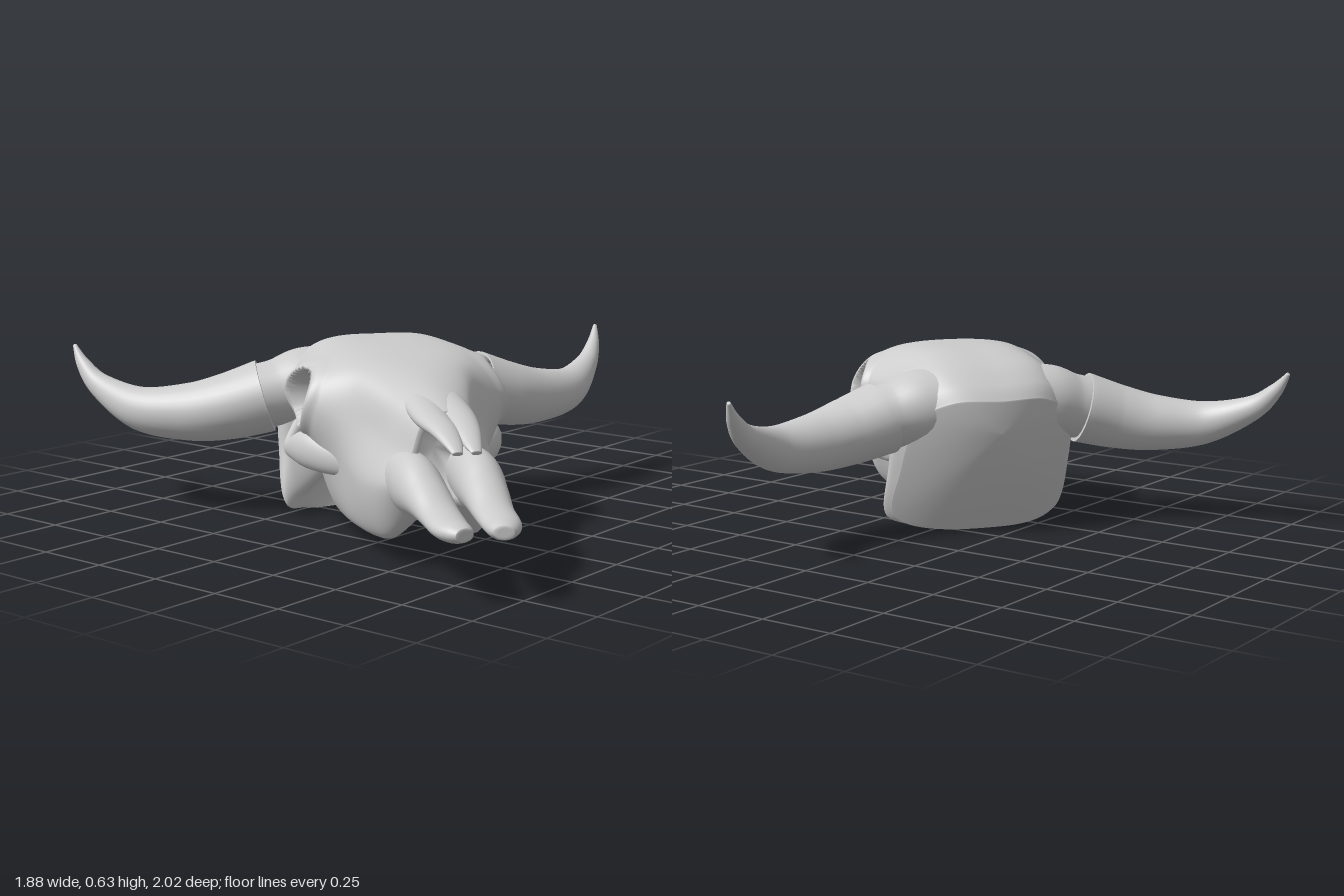
import * as THREE from 'three';

const material = new THREE.MeshStandardMaterial({ color: 0xcccccc, side: THREE.DoubleSide });

// Smooth interpolation of rows of numbers; u runs over the row index
function sample(keys, u) {
  const i = Math.min(Math.floor(u), keys.length - 2), f = u - i;
  const k = n => keys[Math.max(0, Math.min(keys.length - 1, n))];
  return keys[i].map((p1, c) => {
    const p0 = k(i - 1)[c], p2 = k(i + 1)[c], p3 = k(i + 2)[c];
    return p1 + 0.5 * f * (p2 - p0 + f * (2 * p0 - 5 * p1 + 4 * p2 - p3 + f * (3 * (p1 - p2) + p3 - p0)));
  });
}

// Skin over a list of closed rings with equal point counts
function skin(rings, name) {
  const n = rings[0].length, index = [];
  for (let i = 0; i < rings.length - 1; i++) {
    for (let j = 0; j < n; j++) {
      const a = i * n + j, b = i * n + (j + 1) % n;
      index.push(a, a + n, b, b, a + n, b + n);
    }
  }
  const geometry = new THREE.BufferGeometry().setFromPoints(rings.flat());
  geometry.setIndex(index);
  geometry.computeVertexNormals();
  const mesh = new THREE.Mesh(geometry, material);
  mesh.name = name;
  return mesh;
}

// Elliptical sweep through keys of [x, y, z, halfWidth, halfHeight]
function sweep(name, keys, side, rows = 40, cols = 32) {
  const rings = [], last = keys.length - 1;
  const at = u => {
    const k = sample(keys, u);
    return { p: new THREE.Vector3(k[0] * side, k[1], k[2]), w: k[3], h: k[4] };
  };
  const ring = (u, scale) => {
    const { p, w, h } = at(u);
    const tangent = at(Math.min(last, u + 0.02)).p.sub(at(Math.max(0, u - 0.02)).p).normalize();
    const across = new THREE.Vector3(0, 1, 0).cross(tangent).normalize();
    const up = tangent.clone().cross(across);
    rings.push(Array.from({ length: cols }, (_, j) => {
      const a = j / cols * Math.PI * 2;
      return p.clone().addScaledVector(across, Math.sin(a) * w * scale).addScaledVector(up, Math.cos(a) * h * scale);
    }));
  };
  ring(0, 0);
  ring(0, 1);
  for (let i = 0; i <= rows; i++) ring(i / rows * last, 1);
  ring(last, 0.6);
  ring(last, 0);
  return skin(rings, name);
}

// Cranium sections: z, top y, brow (x, y), side (x, y), cheek (x, y), lower edge (x, y), palate y
const sections = [
  [0.18, 0.475, 0.17, 0.47, 0.27, 0.41, 0.31, 0.22, 0.3, 0.035, 0.0],
  [0.23, 0.525, 0.19, 0.52, 0.3, 0.45, 0.335, 0.22, 0.315, 0.03, 0.1],
  [0.33, 0.583, 0.2, 0.57, 0.315, 0.46, 0.315, 0.25, 0.28, 0.08, 0.22],
  [0.48, 0.62, 0.2, 0.597, 0.315, 0.46, 0.22, 0.28, 0.14, 0.18, 0.24],
  [0.65, 0.625, 0.22, 0.6, 0.35, 0.48, 0.24, 0.3, 0.16, 0.11, 0.23],
  [0.75, 0.622, 0.245, 0.59, 0.38, 0.48, 0.29, 0.3, 0.185, 0.075, 0.2],
  [0.86, 0.605, 0.215, 0.575, 0.335, 0.46, 0.28, 0.28, 0.19, 0.068, 0.18],
  [0.97, 0.585, 0.17, 0.55, 0.235, 0.42, 0.24, 0.27, 0.185, 0.068, 0.18],
  [1.1, 0.555, 0.13, 0.515, 0.175, 0.4, 0.22, 0.25, 0.16, 0.068, 0.18],
  [1.2, 0.53, 0.1, 0.495, 0.15, 0.38, 0.2, 0.25, 0.135, 0.09, 0.18],
  [1.31, 0.495, 0.07, 0.465, 0.11, 0.36, 0.16, 0.27, 0.1, 0.2, 0.21],
];

// Bow the back of the head and press in the eye sockets with slightly raised rims
function shape(p) {
  const fade = THREE.MathUtils.clamp(1 - (p.z - 0.18) / 0.47, 0, 1);
  const low = Math.max(0, 0.6 - p.y) / 0.6;
  p.z += fade * ((0.1 + 0.04 * low) * (p.x / 0.32) ** 2 + 0.17 * low * low);
  const rho = Math.hypot((p.y - 0.465) / 0.092, (p.z - 0.765) / 0.092);
  const x = Math.abs(p.x);
  if (x > 0.18) {
    let nx = x;
    if (rho < 1) nx = Math.min(x, 0.385 - 0.19 * (1 - rho ** 6));
    else if (rho < 1.35) nx = x + 0.013 * Math.sin((rho - 1) / 0.35 * Math.PI);
    p.x = Math.sign(p.x) * nx;
  }
  return p;
}

function cranium() {
  const rings = [], cols = 140, rows = 220, last = sections.length - 1;
  const ring = (u, scale, dz = 0) => {
    const [z, top, ax, ay, bx, by, cx, cy, dx, dy, bottom] = sample(sections, u);
    const half = [[ax, ay], [bx, by], [cx, cy], [dx, dy]];
    const outline = [[0, top], ...half, [0, bottom], ...half.map(([x, y]) => [-x, y]).reverse()];
    const curve = new THREE.CatmullRomCurve3(outline.map(([x, y]) => new THREE.Vector3(x, y, 0)), true, 'centripetal');
    rings.push(Array.from({ length: cols }, (_, j) => {
      const p = curve.getPoint(j / cols);
      return shape(p.set(p.x * scale, 0.36 + (p.y - 0.36) * scale, z + dz));
    }));
  };
  // nuchal panel, skull body, then the recessed nasal cavity
  for (let s = 0; s <= 0.96; s += 0.08) ring(0, s, -0.015 * (1 - s));
  for (let i = 0; i <= rows; i++) ring(i / rows * last, 1);
  ring(last, 0.84, 0.005);
  ring(last, 0.75, -0.14);
  ring(last, 0, -0.14);
  return skin(rings, 'cranium');
}

export function createModel() {
  const group = new THREE.Group();
  group.name = 'hornedSkull';
  const skull = new THREE.Group();
  skull.name = 'skull';
  skull.position.set(0.13, 0, -0.425);
  skull.rotation.y = -0.631;
  group.add(skull);
  skull.add(cranium());

  for (const [label, side] of [['left', 1], ['right', -1]]) {
    skull.add(
      // horn sheath and the bony core it sits on
      sweep(label + 'Horn', [
        [0.375, 0.405, 0.39, 0.146, 0.126], [0.5, 0.37, 0.365, 0.127, 0.115], [0.628, 0.348, 0.317, 0.105, 0.1],
        [0.783, 0.352, 0.235, 0.075, 0.077], [0.905, 0.415, 0.113, 0.043, 0.045], [0.96, 0.485, 0.045, 0.024, 0.026],
        [0.985, 0.55, 0, 0.007, 0.007],
      ], side, 70),
      sweep(label + 'HornCore', [
        [0.14, 0.44, 0.39, 0.15, 0.13], [0.24, 0.435, 0.388, 0.142, 0.13], [0.33, 0.415, 0.388, 0.125, 0.115],
        [0.42, 0.4, 0.386, 0.12, 0.11],
      ], side),
      // cheek arch below the eye socket
      sweep(label + 'CheekArch', [
        [0.19, 0.27, 0.98, 0.02, 0.04], [0.265, 0.28, 0.87, 0.035, 0.055], [0.315, 0.29, 0.77, 0.04, 0.06],
        [0.338, 0.275, 0.67, 0.025, 0.035], [0.325, 0.265, 0.57, 0.022, 0.035], [0.27, 0.28, 0.46, 0.03, 0.06],
      ], side),
      // thin wing of bone beneath the braincase
      sweep(label + 'PalateWing', [
        [0.08, 0.27, 0.46, 0.02, 0.04], [0.085, 0.19, 0.56, 0.018, 0.07], [0.11, 0.16, 0.7, 0.02, 0.06],
      ], side),
      // nasal bone over the nose opening
      sweep(label + 'NasalBone', [
        [0.035, 0.518, 1.08, 0.06, 0.03], [0.042, 0.476, 1.28, 0.055, 0.032], [0.034, 0.455, 1.41, 0.043, 0.023],
        [0.029, 0.428, 1.49, 0.028, 0.014], [0.029, 0.41, 1.53, 0.016, 0.007],
      ], side),
      // front jaw bone, split at the middle
      sweep(label + 'FrontJaw', [
        [0.11, 0.28, 1.13, 0.06, 0.08], [0.1, 0.278, 1.31, 0.075, 0.095], [0.09, 0.257, 1.43, 0.07, 0.065],
        [0.082, 0.23, 1.53, 0.062, 0.042], [0.078, 0.215, 1.62, 0.058, 0.034], [0.067, 0.212, 1.67, 0.047, 0.03],
        [0.058, 0.212, 1.7, 0.03, 0.02],
      ], side),
    );
  }
  return group;
}
